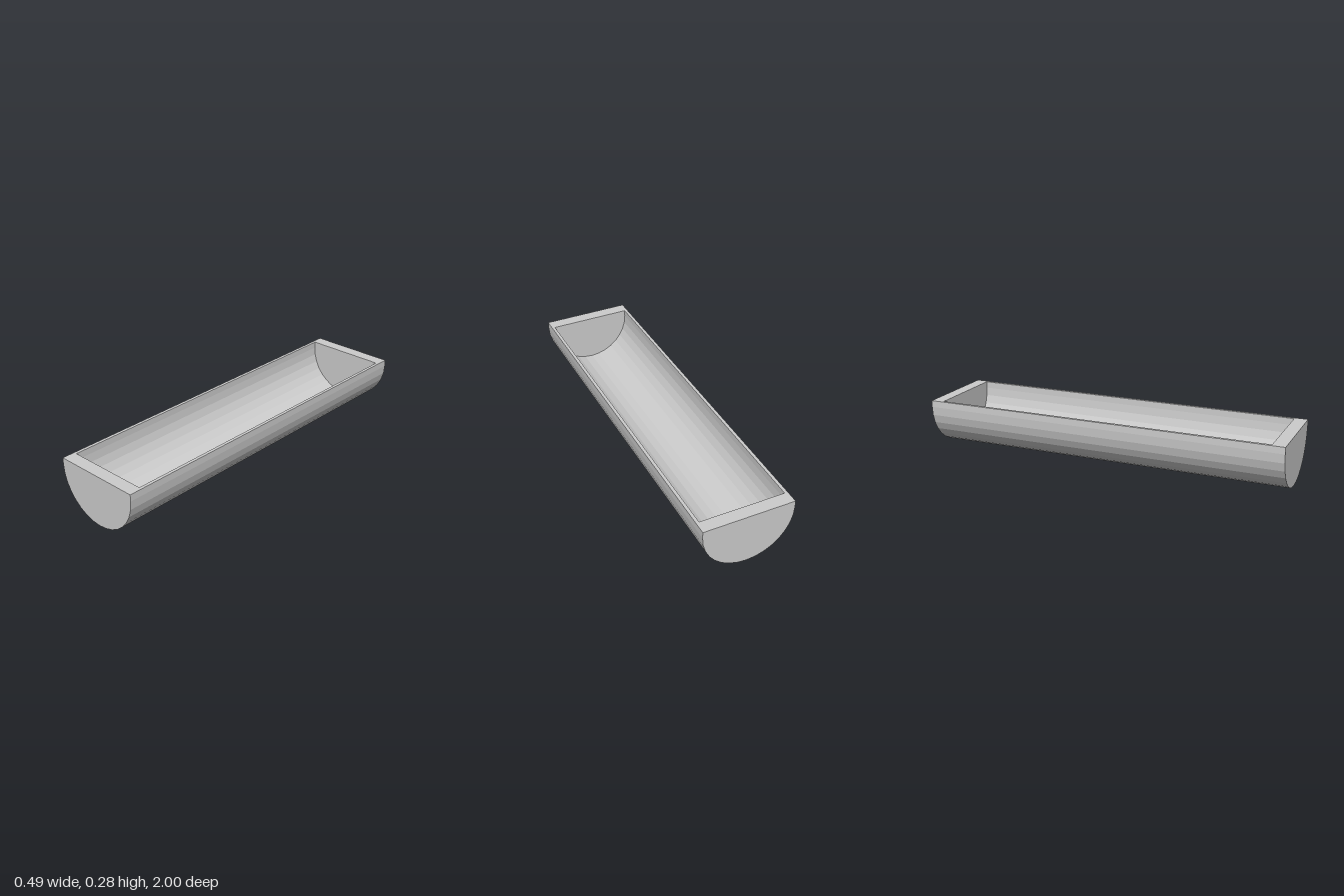
import * as THREE from 'three';

const TOP = 0.281, AXIS = 0.245, OUTER = 0.245, INNER = 0.228;
const HALF_LENGTH = 1, HALF_CAVITY = 0.93, STEPS = 16;

// U-shaped section: half circle with short upright sides, from -x round to +x
function section(radius) {
  const points = [new THREE.Vector2(-radius, TOP)];
  for (let i = 0; i <= STEPS; i++) {
    const a = Math.PI + (i / STEPS) * Math.PI;
    points.push(new THREE.Vector2(Math.cos(a) * radius, AXIS + Math.sin(a) * radius));
  }
  points.push(new THREE.Vector2(radius, TOP));
  return points;
}

// Sweep the section along z; inward flips the faces towards the cavity
function skin(points, half, inward) {
  const positions = [];
  for (let i = 0; i < points.length - 1; i++) {
    const p = points[i], q = points[i + 1];
    const a = [p.x, p.y, half], b = [p.x, p.y, -half];
    const c = [q.x, q.y, -half], d = [q.x, q.y, half];
    const corners = inward ? [a, d, c, a, c, b] : [a, b, c, a, c, d];
    positions.push(...corners.flat());
  }
  const geometry = new THREE.BufferGeometry();
  geometry.setAttribute('position', new THREE.Float32BufferAttribute(positions, 3));
  geometry.computeVertexNormals();
  return geometry;
}

function rectangle(path, x, y) {
  path.moveTo(-x, -y).lineTo(x, -y).lineTo(x, y).lineTo(-x, y).closePath();
  return path;
}

export function createModel() {
  const group = new THREE.Group();
  group.name = 'trough';
  const grey = new THREE.MeshStandardMaterial({ color: 0xcccccc, flatShading: true });
  grey.name = 'light grey';

  const add = (name, geometry) => {
    const mesh = new THREE.Mesh(geometry, grey);
    mesh.name = name;
    group.add(mesh);
    return mesh;
  };

  // Curved outside and hollow inside
  add('outerShell', skin(section(OUTER), HALF_LENGTH, false));
  add('innerShell', skin(section(INNER), HALF_CAVITY, true));

  // End walls, outside and inside faces
  for (const [end, side] of [['front', 1], ['back', -1]]) {
    const outside = add(end + 'EndOutside', new THREE.ShapeGeometry(new THREE.Shape(section(OUTER))));
    outside.position.z = side * HALF_LENGTH;
    outside.rotation.y = side > 0 ? 0 : Math.PI;
    const inside = add(end + 'EndInside', new THREE.ShapeGeometry(new THREE.Shape(section(INNER))));
    inside.position.z = side * HALF_CAVITY;
    inside.rotation.y = side > 0 ? Math.PI : 0;
  }

  // Flat rim around the opening
  const rim = rectangle(new THREE.Shape(), OUTER, HALF_LENGTH);
  rim.holes.push(rectangle(new THREE.Path(), INNER, HALF_CAVITY));
  const rimMesh = add('rim', new THREE.ShapeGeometry(rim));
  rimMesh.rotation.x = -Math.PI / 2;
  rimMesh.position.y = TOP;

  return group;
}
